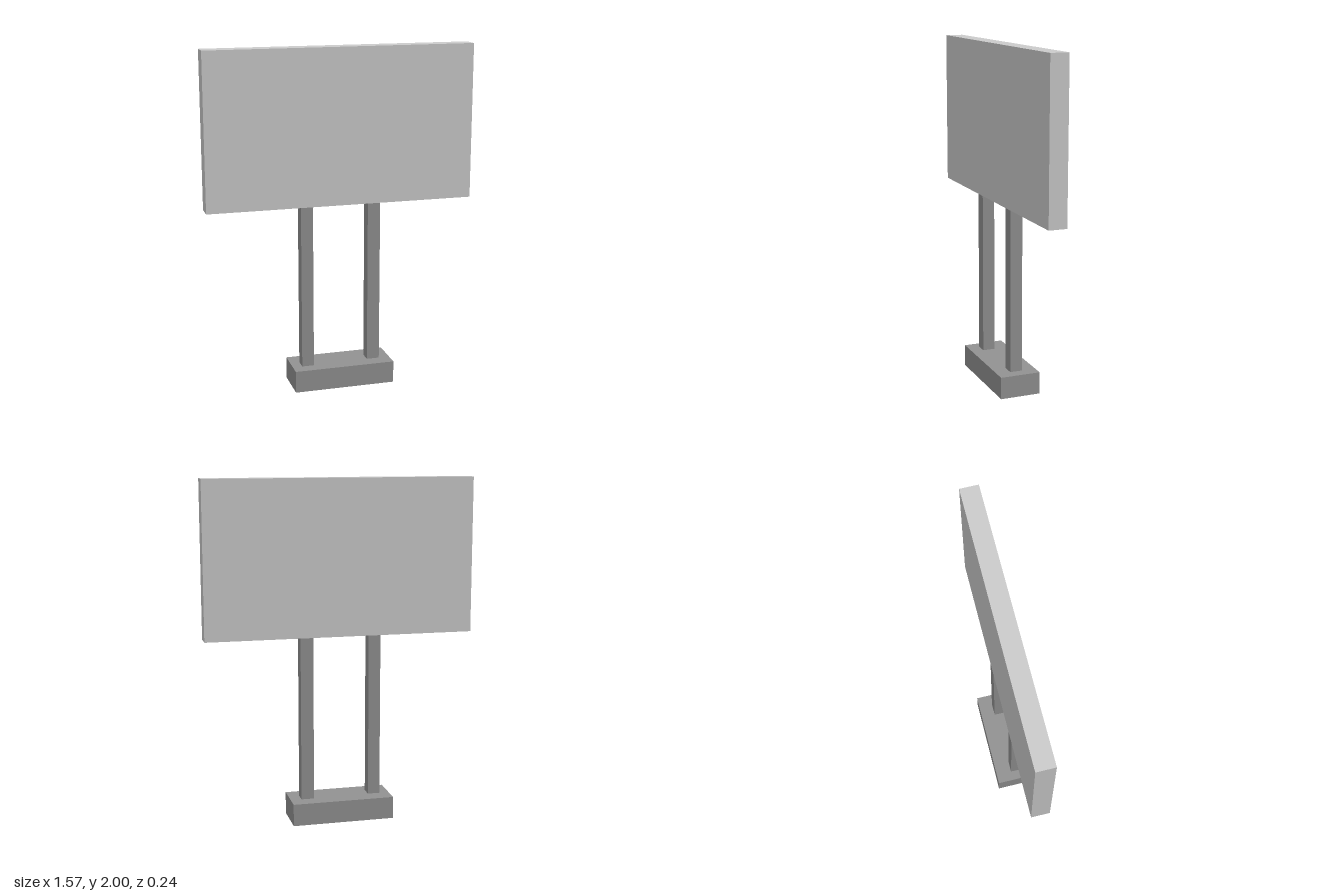
import * as THREE from 'three';

export function createModel() {
  const group = new THREE.Group();
  const light = new THREE.MeshStandardMaterial({ color: 0xcccccc, flatShading: true });
  const dark = new THREE.MeshStandardMaterial({ color: 0x929292, flatShading: true });

  // Box given by its lower and upper corners
  const addBox = (name, material, [x0, y0, z0], [x1, y1, z1]) => {
    const mesh = new THREE.Mesh(new THREE.BoxGeometry(x1 - x0, y1 - y0, z1 - z0), material);
    mesh.name = name;
    mesh.position.set((x0 + x1) / 2, (y0 + y1) / 2, (z0 + z1) / 2);
    group.add(mesh);
  };

  // Foot block
  addBox('base', dark, [-0.3, 0, -0.12], [0.3, 0.13, 0.12]);

  // Two square posts, set slightly out of line with each other
  addBox('rightPost', dark, [-0.243, 0.13, -0.025], [-0.172, 1.095, 0.048]);
  addBox('leftPost', dark, [0.16, 0.13, -0.035], [0.235, 1.095, 0.037]);

  // Sign board
  addBox('panel', light, [-0.787, 1.095, -0.053], [0.787, 2, 0.053]);

  return group;
}
